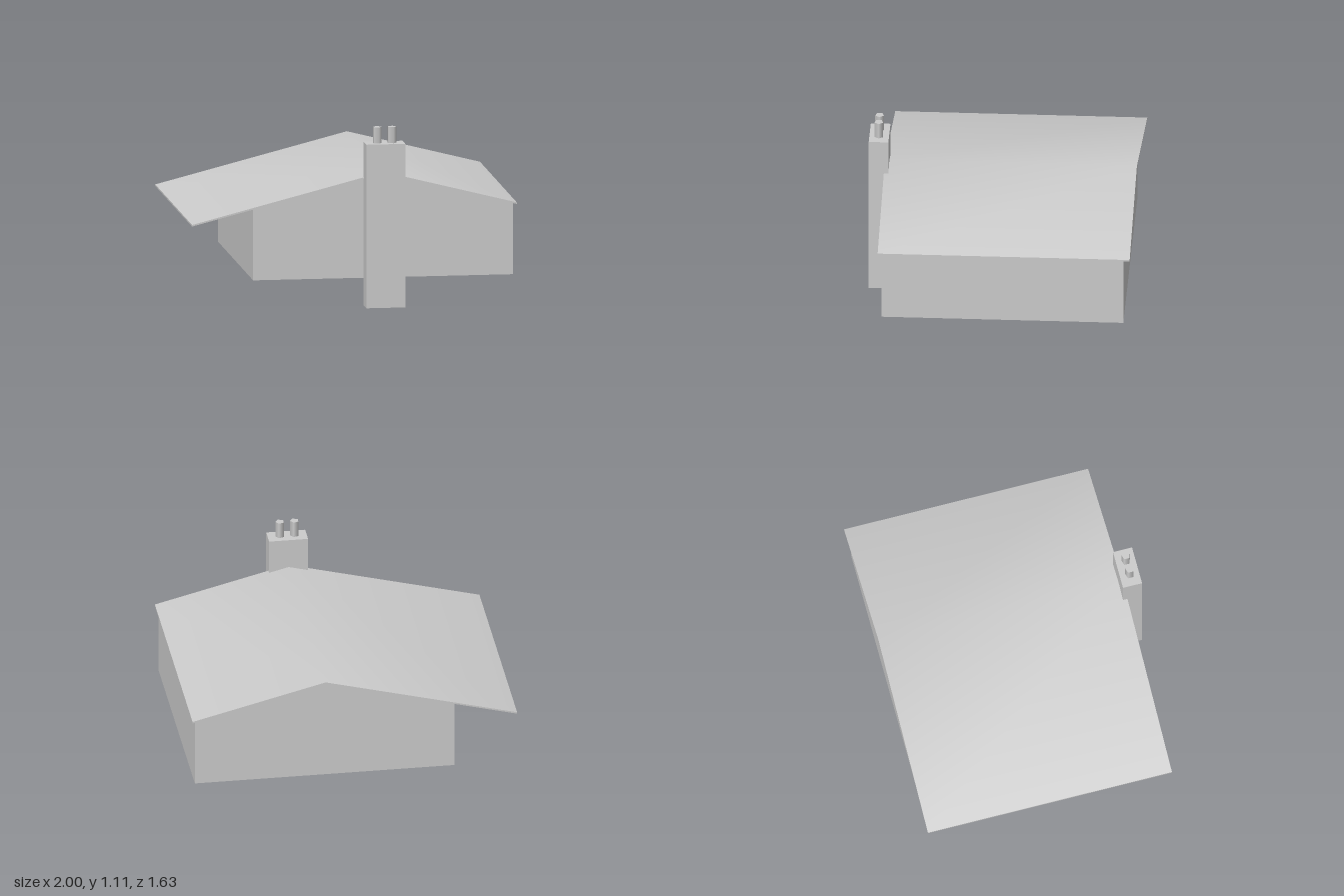
import * as THREE from 'three';
import { toCreasedNormals } from 'three/addons/utils/BufferGeometryUtils.js';

export function createModel() {
  const model = new THREE.Group();
  model.name = 'house';
  const material = new THREE.MeshStandardMaterial({ color: 0xcccccc });

  const add = (name, geometry, x = 0, y = 0, z = 0) => {
    const mesh = new THREE.Mesh(geometry, material);
    mesh.name = name;
    mesh.position.set(x, y, z);
    model.add(mesh);
  };

  // Extrude a front profile from z = back to z = front
  const prism = (points, back, front) => {
    const shape = new THREE.Shape(points.map(([x, y]) => new THREE.Vector2(x, y)));
    return new THREE.ExtrudeGeometry(shape, { depth: front - back, bevelEnabled: false })
      .translate(0, 0, back);
  };

  // Gabled walls with a closed floor, ending at the roof underside
  add('walls', prism(
    [[-0.62, 0.17], [0.98, 0.17], [0.98, 0.611], [0.18, 0.814], [-0.62, 0.611]],
    -0.775, 0.7));

  // Thin roof sheet, shaded smoothly over the ridge, longer on one side
  const top = [[1, 0.617], [0.18, 0.825], [-1, 0.525]];
  const underside = top.map(([x, y]) => [x, y - 0.01]).reverse();
  add('roof', toCreasedNormals(prism([...top, ...underside], -0.815, 0.723), 0.6));

  // Chimney stack against the front wall
  add('chimney', new THREE.BoxGeometry(0.24, 1.01, 0.12), 0.18, 0.505, 0.755);

  // Five-sided chimney pots
  for (const x of [0.135, 0.225]) {
    add('chimneyPot', new THREE.CylinderGeometry(0.028, 0.028, 0.1, 5, 1, false, Math.PI / 2),
      x, 1.06, 0.757);
  }

  return model;
}
